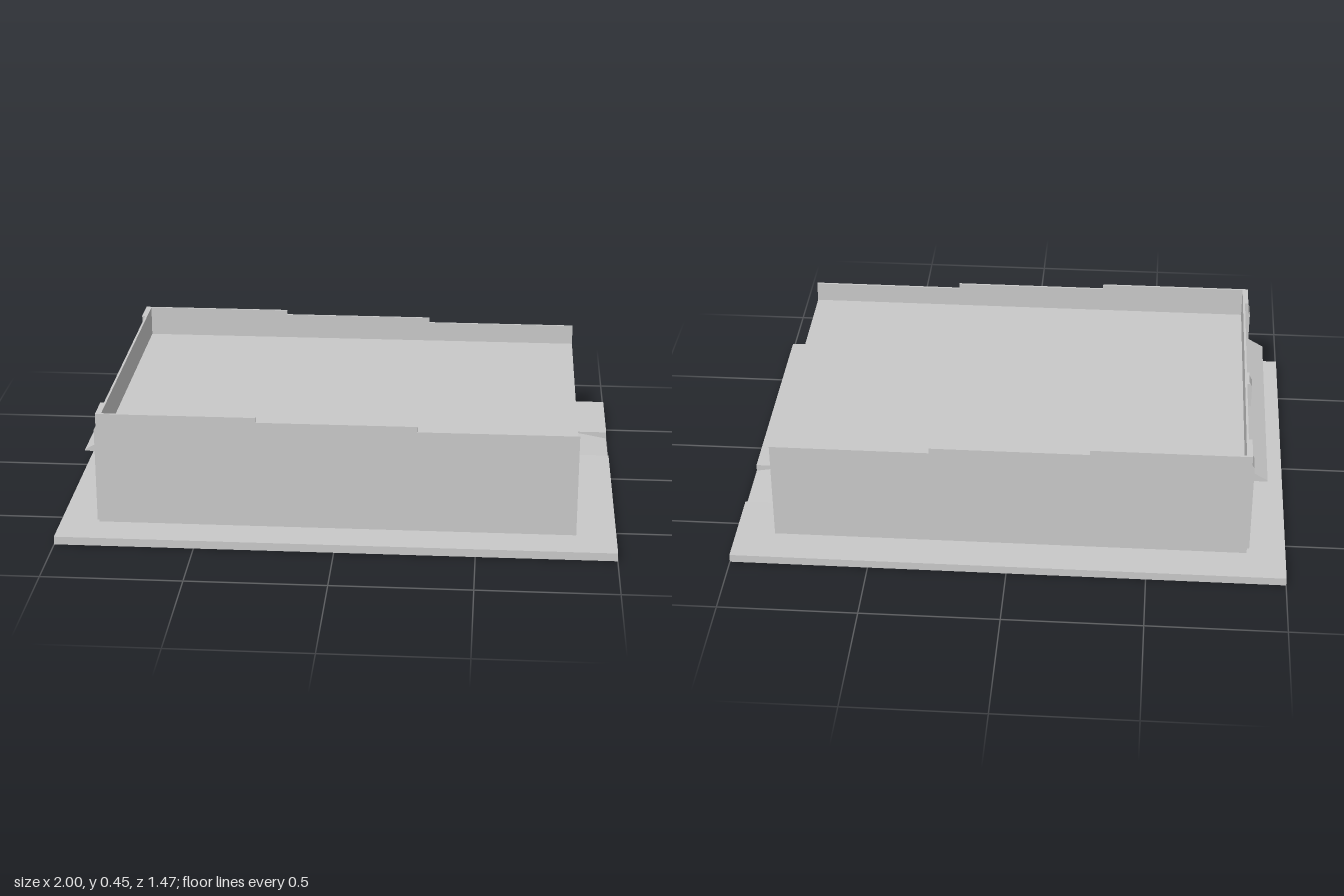
import * as THREE from 'three';

const FLANGE_H = 0.03, LID_Y = 0.335, TOP_Y = 0.448, WALL = 0.008;
const SHIFT = 0.006; // the end features sit slightly off the middle

// Plan outline of the box, shrunk by t; the -x side carries hollow ribs and corner posts
function outline(t) {
  const half = (s) => [ // from a corner to the middle of the -x side
    [-0.86 + t, 0.57 - t], [-0.87 + t, 0.57 - t], [-0.87 + t, 0.5 + t], [-0.86 + t, 0.5 + t],
    [-0.86 + t, 0.475 + t], [-0.847 + t, 0.475 + t],
    [-0.847 + t, 0.04 - t], [-0.86 + t, 0.04 - t], [-0.86 + t, 0.025 - t], [-0.87 + t, 0.025 - t],
  ].map(([x, z]) => [x, s * z + SHIFT]);
  const x0 = -0.86 + t, x1 = 0.857 - t, z = 0.592 - t;
  return [[x1, z], [x0, z], ...half(1), ...half(-1).reverse(), [x0, -z], [x1, -z]];
}

const toPoints = (pts) => pts.map(([x, z]) => new THREE.Vector2(x, -z));

// Extrude a plan (x, z) upward from y0 to y1; the hole winds against the outline
function plan(pts, hole, y0, y1) {
  const shape = new THREE.Shape(toPoints(pts));
  if (hole) shape.holes.push(new THREE.Path(toPoints(hole).reverse()));
  return new THREE.ExtrudeGeometry(shape, { depth: y1 - y0, bevelEnabled: false })
    .rotateX(-Math.PI / 2).translate(0, y0, 0);
}

// Extrude a side profile (x, y) along z from z0 to z1
function profile(pts, z0, z1) {
  const shape = new THREE.Shape(pts.map(([x, y]) => new THREE.Vector2(x, y)));
  return new THREE.ExtrudeGeometry(shape, { depth: z1 - z0, bevelEnabled: false }).translate(0, 0, z0);
}

export function createModel() {
  const model = new THREE.Group();
  const grey = new THREE.MeshStandardMaterial({ color: 0xc8c8c8 });
  grey.name = 'plainGrey';
  const add = (name, geometry) => {
    const mesh = new THREE.Mesh(geometry, grey);
    mesh.name = name;
    model.add(mesh);
  };

  // Base flange with an open middle and a notch in the +x edge, bridged by a thin ramp
  add('flange', plan([
    [-1, -0.735], [1, -0.735], [1, -0.4], [0.857, -0.4], [0.857, -0.16], [1, -0.16], [1, 0.735], [-1, 0.735],
  ], outline(WALL), 0, FLANGE_H));
  add('notchRamp', profile([[0.857, 0.024], [1, 0], [1, 0.004], [0.857, FLANGE_H]], -0.4, -0.16));

  // Hollow box below the lid, and the lid itself
  add('boxWalls', plan(outline(0), outline(WALL), FLANGE_H, LID_Y - 0.01));
  add('lidPanel', plan(outline(0), null, LID_Y - 0.01, LID_Y));

  // Stepped side rims above the lid
  const rim = [
    [-0.86, LID_Y], [0.857, LID_Y], [0.857, 0.41], [0.285, 0.41],
    [0.285, 0.43], [-0.288, 0.43], [-0.288, TOP_Y], [-0.86, TOP_Y],
  ];
  add('leftRim', profile(rim, 0.584, 0.592));
  add('rightRim', profile(rim, -0.592, -0.584));

  // End rim with corner posts
  const rimH = TOP_Y - LID_Y, rimY = (TOP_Y + LID_Y) / 2;
  add('endRim', new THREE.BoxGeometry(0.008, rimH, 1.168).translate(-0.843, rimY, 0));
  for (const s of [-1, 1]) {
    add('cornerPost', new THREE.BoxGeometry(0.02, rimH, 0.113).translate(-0.85, rimY, s * 0.5355));
  }

  // Sloped tops of the ribs
  const cap = [[-0.87, LID_Y], [-0.84, LID_Y], [-0.84, 0.4], [-0.859, 0.4], [-0.87, 0.38]];
  for (const [z0, z1] of [[0.5, 0.57], [-0.025, 0.025], [-0.57, -0.5]]) {
    add('ribTop', profile(cap, z0 + SHIFT, z1 + SHIFT));
  }
  add('middleRibShoulder', new THREE.BoxGeometry(0.02, 0.065, 0.08).translate(-0.85, LID_Y + 0.0325, SHIFT));

  // Wedge-shaped catch along the end
  add('catchLip', profile([[-0.925, 0.255], [-0.845, 0.255], [-0.845, 0.306], [-0.925, 0.26]],
    -0.465 + SHIFT, 0.465 + SHIFT));
  return model;
}
